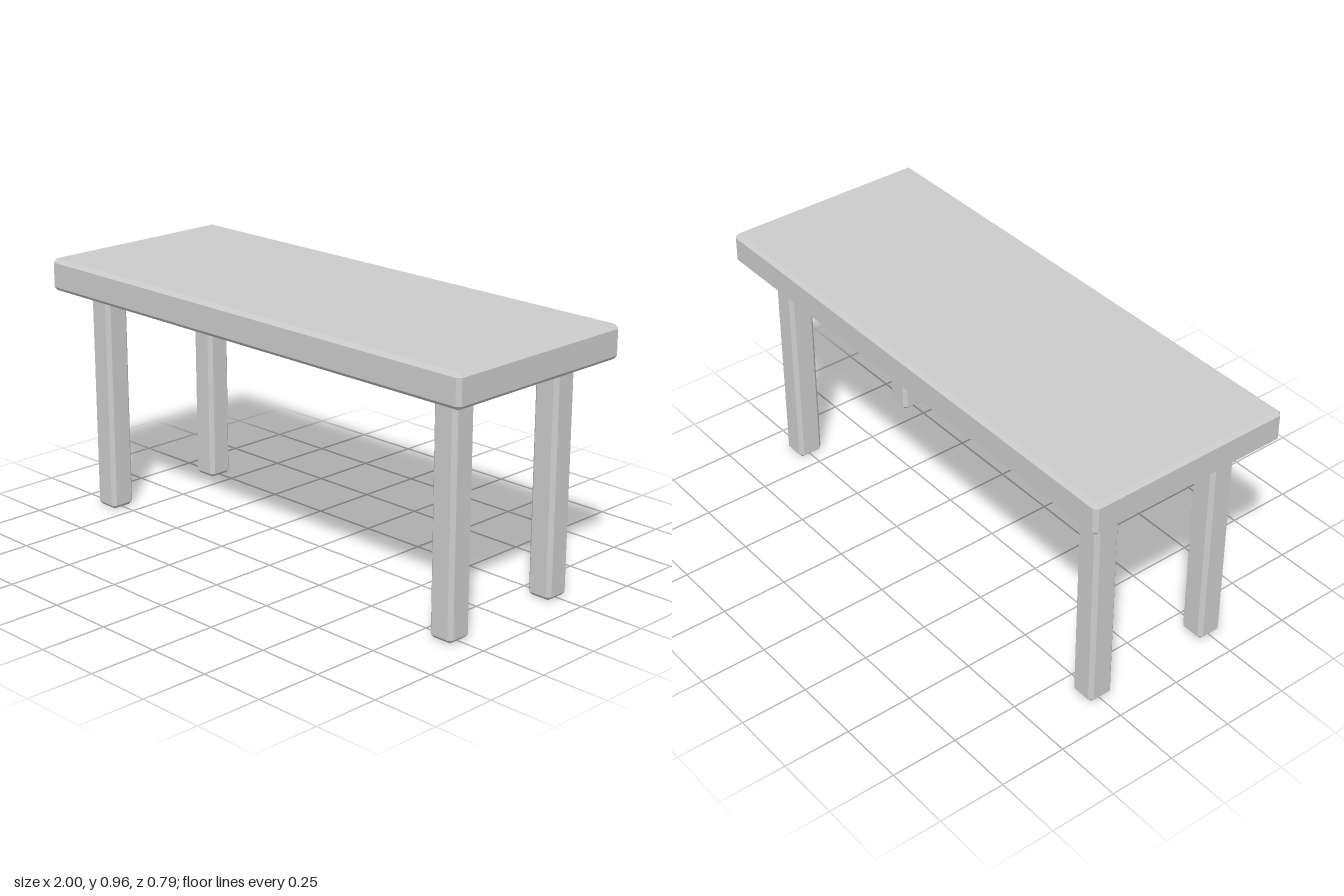
import * as THREE from 'three';

const BEVEL = 0.014;

// Rectangle with cut corners at height y; c = 0 gives sharp corners.
function section(y, hx, hz, c) {
  return [
    [hx, hz - c], [hx - c, hz], [-hx + c, hz], [-hx, hz - c],
    [-hx, -hz + c], [-hx + c, -hz], [hx - c, -hz], [hx, -hz + c],
  ].map(([x, z]) => new THREE.Vector3(x, y, z));
}

// Joins sections from bottom to top and closes the ends.
function loft(sections, capTop) {
  const points = [];
  const tri = (a, b, c) => {
    const area = b.clone().sub(a).cross(c.clone().sub(a)).length();
    if (area > 1e-8) points.push(a, b, c);
  };
  for (let s = 0; s < sections.length - 1; s++) {
    const lo = sections[s], hi = sections[s + 1];
    for (let i = 0; i < 8; i++) {
      const j = (i + 1) % 8;
      tri(lo[i], hi[i], lo[j]);
      tri(lo[j], hi[i], hi[j]);
    }
  }
  const bottom = sections[0], top = sections[sections.length - 1];
  for (let i = 1; i < 7; i++) {
    tri(bottom[0], bottom[i], bottom[i + 1]);
    if (capTop) tri(top[0], top[i + 1], top[i]);
  }
  const geometry = new THREE.BufferGeometry().setFromPoints(points);
  geometry.computeVertexNormals();
  return geometry;
}

export function createModel() {
  const model = new THREE.Group();
  model.name = 'table';
  const grey = new THREE.MeshStandardMaterial({ color: 0xcccccc });
  grey.name = 'plain grey';

  // Bevelled table top
  const bottomY = 0.84, topY = 0.96, hx = 1, hz = 0.395;
  const tableTop = new THREE.Mesh(loft([
    section(bottomY, hx - BEVEL, hz - BEVEL, 0),
    section(bottomY + BEVEL, hx, hz, BEVEL),
    section(topY - BEVEL, hx, hz, BEVEL),
    section(topY, hx - BEVEL, hz - BEVEL, 0),
  ], true), grey);
  tableTop.name = 'tableTop';
  model.add(tableTop);

  // Legs with bevelled feet, flaring out where they meet the top
  const half = 0.049;
  const legGeometry = loft([
    section(0, half - BEVEL, half - BEVEL, 0),
    section(BEVEL, half, half, BEVEL),
    section(bottomY - BEVEL, half, half, BEVEL),
    section(bottomY, half + BEVEL, half + BEVEL, 0),
  ], false);
  for (const [side, x] of [['Left', 0.852], ['Right', -0.852]]) {
    for (const [end, z] of [['front', 0.249], ['back', -0.247]]) {
      const leg = new THREE.Mesh(legGeometry, grey);
      leg.name = `${end}${side}Leg`;
      leg.position.set(x, 0, z);
      model.add(leg);
    }
  }
  return model;
}
